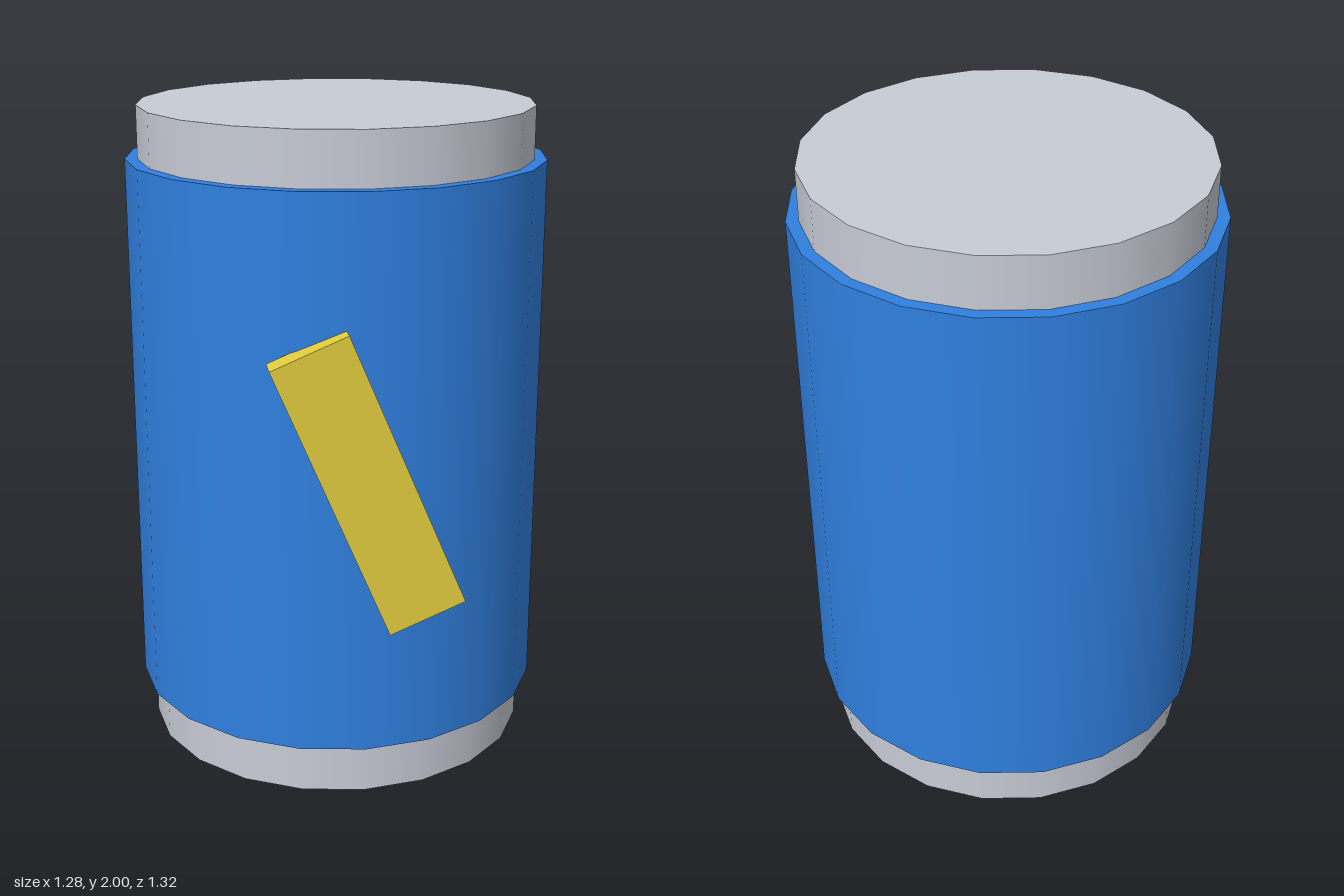
import * as THREE from 'three';

const SIDES = 20;
const AXIS_Z = -0.02; // the body sits slightly back so the whole model is centred

function material(name, color) {
  const m = new THREE.MeshStandardMaterial({ color });
  m.name = name;
  return m;
}

function addPart(group, name, geometry, mat, x, y, z) {
  const mesh = new THREE.Mesh(geometry, mat);
  mesh.name = name;
  mesh.position.set(x, y, z);
  group.add(mesh);
  return mesh;
}

export function createModel() {
  const grey = material('light grey', 0xc8ccd6);
  const blue = material('blue', 0x3080e0);
  const yellow = material('yellow', 0xe1cc3d);

  const model = new THREE.Group();
  model.name = 'canister';

  // Inner can, showing at both ends
  addPart(model, 'canBody', new THREE.CylinderGeometry(0.6, 0.6, 2, SIDES), grey, 0, 1, AXIS_Z);

  // Wrapped label sleeve
  addPart(model, 'sleeve', new THREE.CylinderGeometry(0.638, 0.638, 1.68, SIDES), blue, 0, 1, AXIS_Z);

  // Slanted bar half sunk into the front of the sleeve
  const bar = addPart(model, 'slantedBar', new THREE.BoxGeometry(0.24, 0.88, 0.08), yellow, 0, 1.003, 0.618);
  bar.rotation.z = 0.4;

  return model;
}
